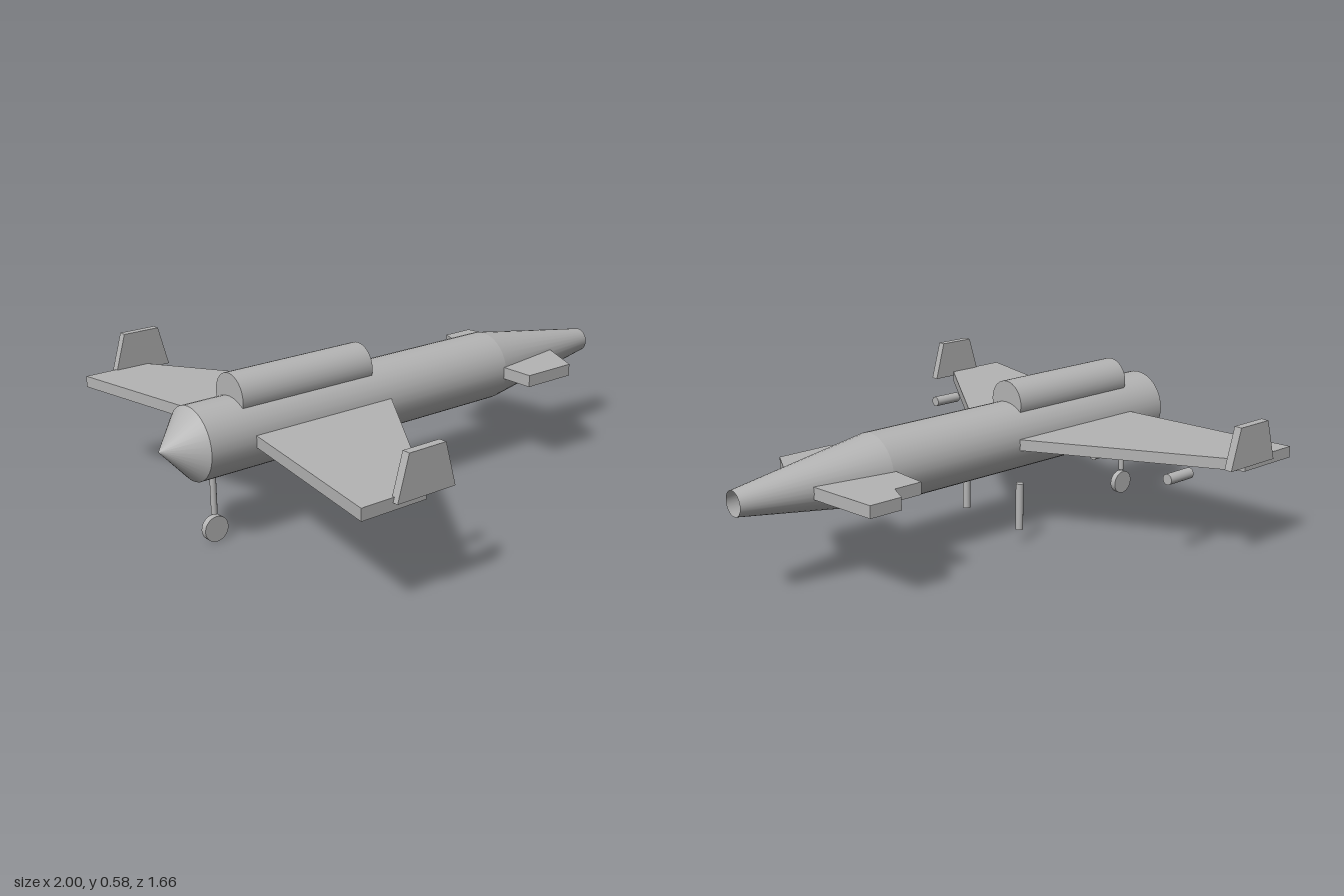
import * as THREE from 'three';

const AXIS_Y = 0.37; // height of the fuselage centre line

export function createModel() {
  const model = new THREE.Group();
  model.name = 'jetPlane';
  const grey = new THREE.MeshStandardMaterial({ color: 0xb4b4b4, side: THREE.DoubleSide });
  grey.name = 'grey';

  const add = (name, geometry, x = 0, y = 0, z = 0) => {
    const mesh = new THREE.Mesh(geometry, grey);
    mesh.name = name;
    mesh.position.set(x, y, z);
    model.add(mesh);
  };

  // Tube along x, from x0 (radius r0) to x1 (radius r1)
  const tubeX = (name, x0, r0, x1, r1, y, z, open = false) => {
    const geo = new THREE.CylinderGeometry(r1, r0, x1 - x0, 32, 1, open);
    geo.rotateZ(-Math.PI / 2);
    add(name, geo, (x0 + x1) / 2, y, z);
  };

  // Flat plate extruded from an outline of [x, y] points
  const extrude = (points, depth) => new THREE.ExtrudeGeometry(
    new THREE.Shape(points.map(([x, y]) => new THREE.Vector2(x, y))),
    { depth, bevelEnabled: false });

  // Horizontal plate from an outline of [x, z] points
  const plate = (name, points, top, thickness) =>
    add(name, extrude(points, thickness).rotateX(Math.PI / 2), 0, top, 0);

  // Fuselage: tail cone, main barrel, open tapered nose
  tubeX('tailCone', -1, 0, -0.88, 0.13, AXIS_Y, 0, true);
  tubeX('fuselage', -0.88, 0.13, 0.45, 0.13, AXIS_Y, 0, true);
  tubeX('taperedNose', 0.45, 0.13, 1, 0.045, AXIS_Y, 0, true);

  // Round housing on the back of the fuselage
  tubeX('dorsalPod', -0.72, 0.08, -0.17, 0.08, 0.5, 0);

  for (const side of [1, -1]) {
    // Swept wing with an upright fin at its tip
    plate('wing', [[-0.7, 0.1], [-0.82, 0.81], [-0.57, 0.81], [-0.105, 0.1]]
      .map(([x, z]) => [x, z * side]), 0.392, 0.042);
    add('wingtipFin', extrude(
      [[-0.7, 0.375], [-0.47, 0.375], [-0.51, 0.525], [-0.655, 0.525]], 0.03),
    0, 0, side * 0.815 - 0.015);

    // Stores hung below the wing
    for (const z of [0.285, 0.652]) {
      tubeX('underwingStore', -0.46, 0.02, -0.345, 0.02, 0.328, side * z);
    }

    // Main landing leg
    add('mainGearLeg', new THREE.CylinderGeometry(0.0145, 0.0145, 0.18, 20), -0.103, 0.145, side * 0.153);
  }

  // Forward fins, each with its own outline
  plate('leftCanard',
    [[0.44, 0.06], [0.44, 0.262], [0.66, 0.262], [0.745, 0.085], [0.745, 0.06]], 0.392, 0.045);
  plate('rightCanard',
    [[0.44, 0], [0.44, -0.268], [0.55, -0.268], [0.58, -0.345], [0.705, -0.345],
      [0.743, -0.09], [0.755, 0]], 0.392, 0.045);

  // Tail leg and wheel
  add('tailGearLeg', new THREE.CylinderGeometry(0.011, 0.011, 0.135, 20), -0.8, 0.167, 0);
  add('tailWheel', new THREE.CylinderGeometry(0.046, 0.046, 0.024, 28).rotateX(Math.PI / 2), -0.8, 0.046, 0);

  return model;
}
